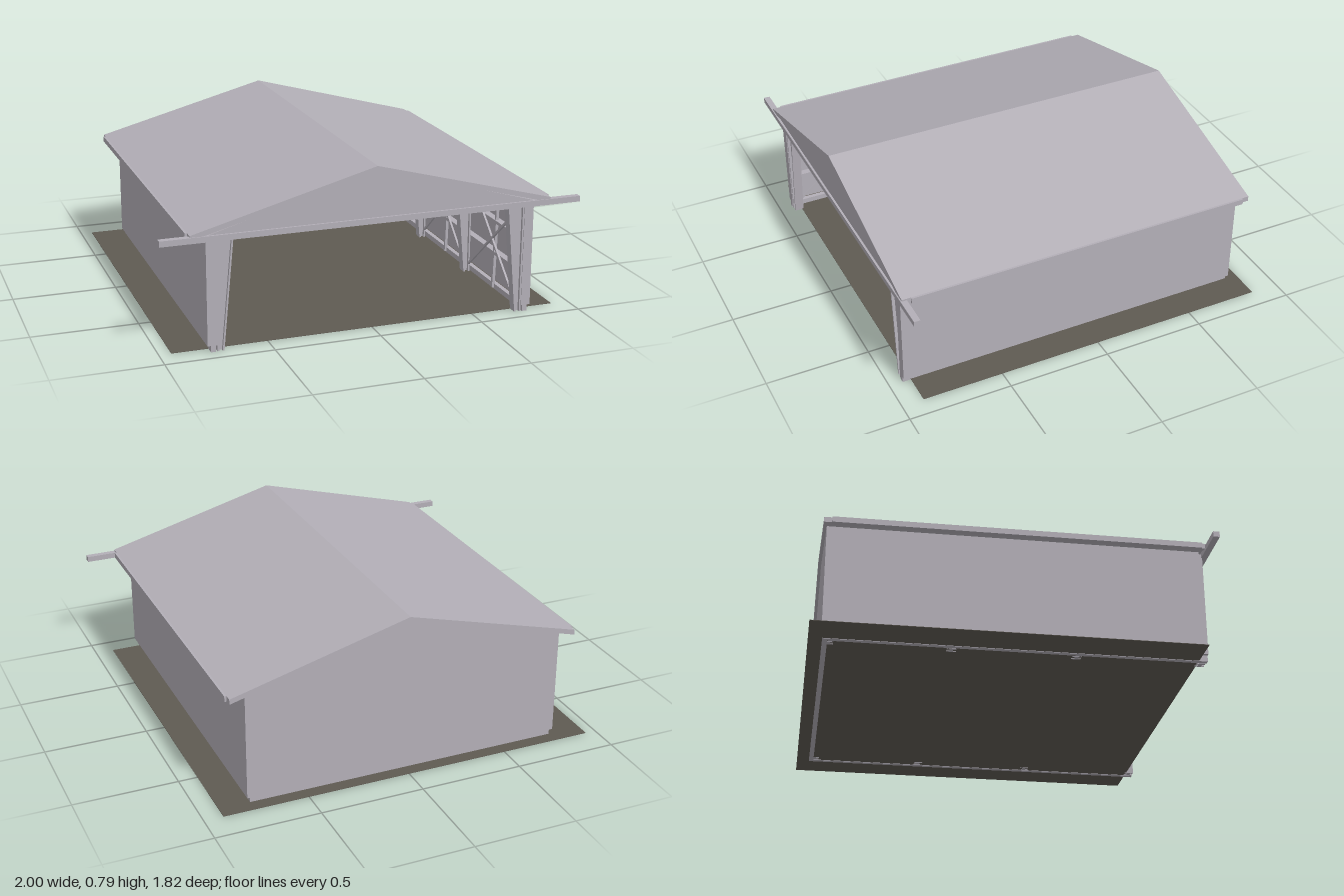
import * as THREE from 'three';

export function createModel() {
  const root = new THREE.Group();
  root.name = 'openFrontedBarn';
  const barn = new THREE.Group();
  barn.name = 'barnBody';
  barn.position.x = -0.007;
  root.add(barn);

  const cladding = new THREE.MeshStandardMaterial({ color: 0xb3afb7 });
  cladding.name = 'greyCladding';
  const earth = new THREE.MeshStandardMaterial({ color: 0x5f5a52 });
  earth.name = 'darkGround';

  const add = (name, geometry, material = cladding, parent = barn) => {
    const mesh = new THREE.Mesh(geometry, material);
    mesh.name = name;
    parent.add(mesh);
    return mesh;
  };
  // Box given by its limits on each axis
  const box = (name, x0, x1, y0, y1, z0, z1, material, parent) => {
    const mesh = add(name, new THREE.BoxGeometry(Math.abs(x1 - x0), y1 - y0, z1 - z0), material, parent);
    mesh.position.set((x0 + x1) / 2, (y0 + y1) / 2, (z0 + z1) / 2);
    return mesh;
  };
  // Flat outline in x,y extruded from z0 to z1
  const slab = (name, points, z0, z1) => {
    const shape = new THREE.Shape(points.map(([x, y]) => new THREE.Vector2(x, y)));
    const mesh = add(name, new THREE.ExtrudeGeometry(shape, { depth: z1 - z0, bevelEnabled: false }));
    mesh.position.z = z0;
    return mesh;
  };
  // Thin square bar between two points
  const bar = (name, a, b, size) => {
    const from = new THREE.Vector3(...a), to = new THREE.Vector3(...b);
    const mesh = add(name, new THREE.BoxGeometry(size, size, from.distanceTo(to)));
    mesh.position.copy(from).add(to).multiplyScalar(0.5);
    mesh.lookAt(to);
    return mesh;
  };

  // Ground sheet
  const ground = box('ground', -0.945, 0.91, 0.002, 0.004, -0.86, 0.895, earth, root);
  ground.receiveShadow = false;

  // Pitched roof sheet
  slab('roof', [[-0.858, 0.53], [0, 0.762], [0.858, 0.53], [0.858, 0.555], [0, 0.785], [-0.858, 0.555]], -0.818, 0.955);

  // Front gable, header track and back wall
  slab('frontGable', [[-0.8, 0.54], [0.8, 0.54], [0, 0.77]], 0.93, 0.95);
  box('headerBeam', -1, 1, 0.52, 0.547, 0.93, 0.96, cladding, root);
  slab('backWall', [[-0.783, 0.03], [0.783, 0.03], [0.783, 0.555], [0, 0.77], [-0.783, 0.555]], -0.803, -0.79);
  box('backSill', -0.768, 0.768, 0, 0.03, -0.798, -0.775);

  const frameZ = [0.91, 0.34, -0.225, -0.77];
  for (const s of [-1, 1]) {
    // Side cladding, sill, front corner trim and gutter
    box('sideWall', s * 0.783, s * 0.772, 0.03, 0.555, -0.8, 0.92);
    box('sideSill', s * 0.768, s * 0.745, 0, 0.03, -0.798, 0.935);
    box('cornerTrim', s * 0.783, s * 0.738, 0.03, 0.54, 0.92, 0.935);
    box('gutter', s * 0.868, s * 0.84, 0.528, 0.555, -0.782, 0.912);

    // Horizontal wall rails
    for (const y of [0.18, 0.34, 0.5]) {
      box('wallRail', s * 0.772, s * 0.738, y, y + 0.015, -0.79, 0.92);
    }
    // Roof purlins
    for (const x of [0.08, 0.27, 0.46, 0.65]) {
      const y = 0.75 - x * 0.27;
      box('purlin', s * (x - 0.01), s * (x + 0.01), y - 0.015, y + 0.008, -0.79, 0.93);
    }
    // Tapered portal frames: web with flanges
    for (const z of frameZ) {
      slab('frameColumn', [[s * 0.738, 0], [s * 0.738, 0.54], [s * 0.655, 0.54], [s * 0.708, 0]], z - 0.008, z + 0.008);
      slab('frameRafter', [[s * 0.738, 0.52], [s * 0.738, 0.545], [0, 0.742], [0, 0.69], [s * 0.655, 0.52]], z - 0.008, z + 0.008);
      box('outerFlange', s * 0.738, s * 0.73, 0, 0.54, z - 0.022, z + 0.022);
      slab('innerFlange', [[s * 0.714, 0], [s * 0.664, 0.53], [s * 0.656, 0.53], [s * 0.706, 0]], z - 0.022, z + 0.022);
    }
    // Cross braces and intermediate studs in each bay
    for (let i = 0; i < frameZ.length - 1; i++) {
      const a = frameZ[i], b = frameZ[i + 1];
      bar('crossBrace', [s * 0.728, 0.03, a], [s * 0.728, 0.5, b], 0.01);
      bar('crossBrace', [s * 0.728, 0.5, a], [s * 0.728, 0.03, b], 0.01);
      bar('wallStud', [s * 0.748, 0.01, (a + b) / 2], [s * 0.748, 0.54, (a + b) / 2], 0.014);
    }
  }

  // Studs against the back wall
  for (const x of [-0.53, -0.265, 0, 0.265, 0.53]) {
    box('backStud', x - 0.006, x + 0.006, 0, 0.28, -0.79, -0.775);
  }
  return root;
}
